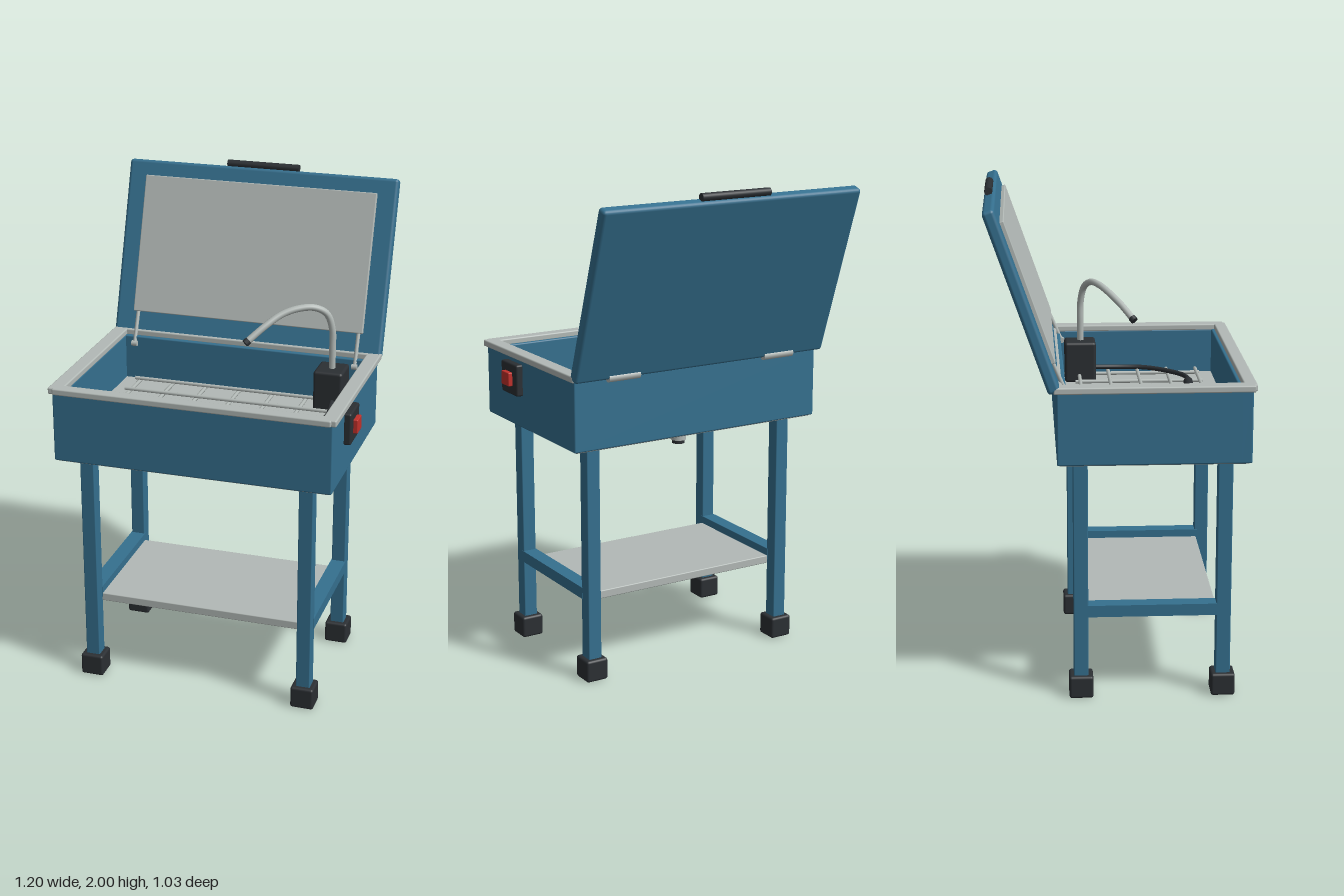
import * as THREE from 'three';
import { RoundedBoxGeometry } from 'three/addons/geometries/RoundedBoxGeometry.js';

const paint = (color) => new THREE.MeshStandardMaterial({ color });
const blue = paint(0x35708f);
const grey = paint(0xb2b9b6);
const dark = paint(0x2b2f33);
const red = paint(0xc0302a);

const V = (x, y, z) => new THREE.Vector3(x, y, z);

export function createModel() {
  const root = new THREE.Group();
  const CX = -0.018; // middle of the cabinet in x

  const add = (name, geometry, material, parent = root) => {
    const mesh = new THREE.Mesh(geometry, material);
    mesh.name = name;
    parent.add(mesh);
    return mesh;
  };
  // box given by its minimum and maximum on each axis
  const box = (name, mat, x0, x1, y0, y1, z0, z1, r = 0, parent = root) => {
    const size = [x1 - x0, y1 - y0, z1 - z0];
    const geo = r ? new RoundedBoxGeometry(...size, 2, r) : new THREE.BoxGeometry(...size);
    const mesh = add(name, geo, mat, parent);
    mesh.position.set((x0 + x1) / 2, (y0 + y1) / 2, (z0 + z1) / 2);
    return mesh;
  };
  // round bar between two points
  const rod = (name, mat, a, b, r, sides = 12, r2 = r) => {
    const mesh = add(name, new THREE.CylinderGeometry(r2, r, a.distanceTo(b), sides), mat);
    mesh.position.copy(a).add(b).multiplyScalar(0.5);
    mesh.quaternion.setFromUnitVectors(V(0, 1, 0), b.clone().sub(a).normalize());
    return mesh;
  };
  const tube = (name, mat, points, r) =>
    add(name, new THREE.TubeGeometry(new THREE.CatmullRomCurve3(points), 48, r, 12), mat);

  // legs, feet and side crossbars
  for (const x of [-0.474, 0.434]) {
    for (const z of [0.408, -0.159]) {
      box('leg', blue, x - 0.029, x + 0.029, 0.08, 0.99, z - 0.029, z + 0.029, 0.004);
      box('foot', dark, x - 0.048, x + 0.048, 0, 0.092, z - 0.048, z + 0.048, 0.01);
    }
    box('crossbar', blue, x - 0.031, x + 0.031, 0.34, 0.388, -0.14, 0.39);
  }
  box('shelf', grey, -0.46, 0.42, 0.322, 0.356, -0.135, 0.385, 0.004);

  // tub
  box('tubFrontWall', blue, -0.585, 0.55, 0.99, 1.278, 0.452, 0.5, 0.006);
  box('tubBackWall', blue, -0.585, 0.55, 0.99, 1.278, -0.25, -0.212, 0.006);
  box('tubSideWall', blue, -0.585, -0.54, 0.99, 1.278, -0.248, 0.498, 0.006);
  box('tubSideWall', blue, 0.506, 0.55, 0.99, 1.278, -0.248, 0.498, 0.006);
  box('tubFloor', grey, -0.545, 0.51, 1.05, 1.09, -0.22, 0.46);
  box('bottomPlate', grey, -0.575, 0.54, 0.985, 1.01, -0.242, 0.492, 0.006);

  // rim around the tub opening
  box('rimSide', grey, -0.6, -0.54, 1.274, 1.301, -0.262, 0.508, 0.006);
  box('rimSide', grey, 0.506, 0.565, 1.274, 1.301, -0.262, 0.508, 0.006);
  box('rimFront', grey, -0.58, 0.545, 1.274, 1.301, 0.465, 0.516, 0.006);
  box('rimBack', grey, -0.58, 0.545, 1.274, 1.301, -0.266, -0.228, 0.006);

  // drain
  rod('drainPipe', grey, V(CX, 0.93, -0.095), V(CX, 0.99, -0.095), 0.032, 20);
  rod('drainOutlet', dark, V(CX, 0.915, -0.095), V(CX, 0.935, -0.095), 0.026, 20);

  // wire rack on the tub floor
  for (let i = 0; i < 5; i++) {
    const z = -0.133 + i * 0.127;
    rod('rackLongWire', grey, V(-0.471, 1.121, z), V(0.436, 1.121, z), 0.008, 8);
  }
  for (let i = 0; i < 7; i++) {
    const x = -0.453 + i * 0.1455;
    rod('rackShortWire', grey, V(x, 1.107, -0.152), V(x, 1.107, 0.391), 0.008, 8);
  }

  // lid, leaning back; built upright about its own centre
  const lid = new THREE.Group();
  lid.name = 'lid';
  lid.position.set(CX, 1.625, -0.378);
  lid.rotation.x = -0.335;
  root.add(lid);
  box('lidShell', blue, -0.582, 0.582, -0.367, 0.367, -0.024, 0.024, 0.014, lid);
  box('lidPanel', grey, -0.5, 0.5, -0.275, 0.302, 0.02, 0.04, 0.004, lid);
  rod('lidHandle', dark, V(-0.172, 1.984, -0.5), V(0.137, 1.984, -0.5), 0.016);

  // hinges and lid stays
  for (const side of [-1, 1]) {
    const hx = CX + side * 0.362;
    rod('hinge', grey, V(hx - 0.07, 1.28, -0.272), V(hx + 0.07, 1.28, -0.272), 0.018);
    const sx = CX + side * 0.481;
    rod('lidStay', grey, V(sx, 1.245, -0.205), V(sx, 1.385, -0.265), 0.008, 10);
    rod('stayPivot', grey, V(sx - 0.012, 1.248, -0.205), V(sx + 0.012, 1.248, -0.205), 0.012);
  }

  // power switch on the left side
  box('switchPlate', dark, 0.545, 0.578, 1.125, 1.256, 0.183, 0.32, 0.008);
  box('switchButton', red, 0.57, 0.596, 1.163, 1.22, 0.22, 0.284, 0.004);

  // pump and curved spout
  box('pump', dark, 0.324, 0.446, 1.09, 1.265, -0.195, -0.062, 0.012);
  tube('spout', grey, [
    V(0.388, 1.25, -0.126), V(0.388, 1.35, -0.126), V(0.386, 1.43, -0.125),
    V(0.365, 1.5, -0.111), V(0.32, 1.53, -0.085), V(0.26, 1.53, -0.053),
    V(0.2, 1.51, -0.016), V(0.145, 1.47, 0.032), V(0.09, 1.42, 0.079),
  ], 0.014);
  rod('spoutTip', dark, V(0.092, 1.422, 0.077), V(0.081, 1.411, 0.087), 0.0155);

  // hose with cleaning brush
  tube('hose', dark, [
    V(0.405, 1.14, -0.07), V(0.42, 1.135, 0.06), V(0.407, 1.135, 0.145),
    V(0.353, 1.135, 0.228), V(0.257, 1.138, 0.3), V(0.177, 1.142, 0.317), V(0.1, 1.145, 0.314),
  ], 0.01);
  rod('brushHandle', dark, V(-0.1, 1.147, 0.308), V(0.107, 1.145, 0.314), 0.019, 16);
  box('brushHead', dark, -0.176, -0.09, 1.115, 1.165, 0.279, 0.333, 0.006);

  return root;
}
